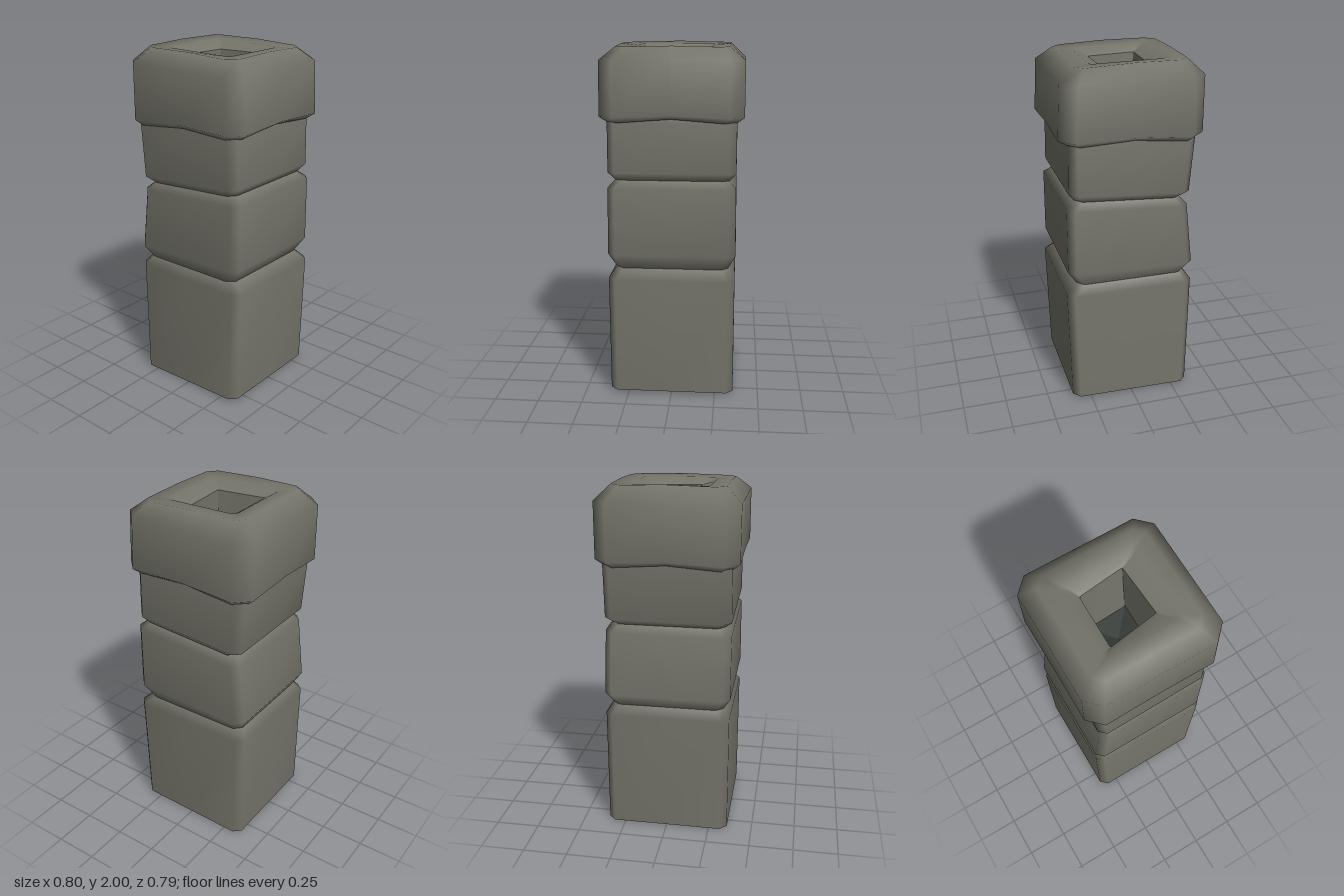
import * as THREE from 'three';

const stone = new THREE.MeshStandardMaterial({ color: 0x74746a, side: THREE.DoubleSide });
stone.name = 'stone';
const soot = new THREE.MeshStandardMaterial({ color: 0x303632, side: THREE.DoubleSide });
soot.name = 'soot';

// Four corners of a level or tilted rectangle, counter-clockwise from above
const rect = (x0, x1, z, yL, yR = yL) => [[x1, yR, z], [x1, yR, -z], [x0, yL, -z], [x0, yL, z]];

// Cross-section with cut corners; "lift" raises or lowers the middle of each side
function ring(corners, cut, lift = 0) {
  const p = corners.map(c => new THREE.Vector3(...c));
  const towards = (a, b) => a.clone().lerp(b, cut / a.distanceTo(b));
  const points = [];
  p.forEach((a, i) => {
    const prev = p[(i + 3) % 4], next = p[(i + 1) % 4];
    const mid = a.clone().lerp(next, 0.5);
    mid.y += lift;
    points.push(towards(a, prev), towards(a, next), mid);
  });
  return points;
}

// Smooth skin through a list of cross-sections
function loft(name, rings, material) {
  const n = rings[0].length, index = [];
  for (let r = 0; r < rings.length - 1; r++) {
    for (let i = 0; i < n; i++) {
      const j = (i + 1) % n;
      const a = r * n + i, b = r * n + j, c = a + n, d = b + n;
      index.push(a, b, d, a, d, c);
    }
  }
  const geometry = new THREE.BufferGeometry().setFromPoints(rings.flat());
  geometry.setIndex(index);
  geometry.computeVertexNormals();
  const mesh = new THREE.Mesh(geometry, material);
  mesh.name = name;
  return mesh;
}

export function createModel() {
  const group = new THREE.Group();
  group.name = 'stonePillar';

  // Shaft blocks, pinched at the joints and open underneath
  group.add(loft('baseBlock', [
    ring(rect(-0.355, 0.355, 0.355, 0.005, 0.02), 0.04),
    ring(rect(-0.365, 0.375, 0.355, 0.7), 0.04),
    ring(rect(-0.325, 0.31, 0.318, 0.752), 0.04),
  ], stone));
  group.add(loft('middleBlock', [
    ring(rect(-0.325, 0.31, 0.318, 0.752), 0.04),
    ring(rect(-0.365, 0.365, 0.358, 0.82, 0.84), 0.04),
    ring(rect(-0.325, 0.365, 0.355, 1.18, 1.22), 0.04),
    ring(rect(-0.285, 0.315, 0.318, 1.222, 1.26), 0.04),
  ], stone));
  group.add(loft('upperBlock', [
    ring(rect(-0.285, 0.315, 0.318, 1.222, 1.26), 0.04),
    ring(rect(-0.335, 0.35, 0.355, 1.26, 1.305), 0.04),
    ring(rect(-0.36, 0.345, 0.355, 1.58), 0.04),
    ring(rect(-0.33, 0.32, 0.33, 1.63), 0.04),
  ], stone));

  // Cap with rounded edges and a top that dips toward the opening
  const lip = [[0.125, 1.945, 0.125], [0.11, 1.94, -0.17], [-0.15, 1.94, -0.14], [-0.155, 1.945, 0.165]];
  group.add(loft('cap', [
    ring(rect(-0.33, 0.32, 0.33, 1.57, 1.585), 0.05, 0.02),
    ring(rect(-0.36, 0.355, 0.355, 1.56, 1.58), 0.06, 0.022),
    ring(rect(-0.402, 0.402, 0.395, 1.595, 1.612), 0.08, 0.015),
    ring(rect(-0.402, 0.387, 0.395, 1.91), 0.08),
    ring(rect(-0.315, 0.3, 0.31, 1.994, 1.98), 0.05, 0.006),
    ring(rect(-0.22, 0.205, 0.215, 1.985, 1.978), 0.02),
    ring(lip, 0.004),
  ], stone));

  // Square opening
  const floor = [[0.11, 1.55, 0.11], [0.11, 1.55, -0.14], [-0.135, 1.55, -0.125], [-0.135, 1.55, 0.13]];
  group.add(loft('openingWall', [ring(lip, 0.004), ring(floor, 0.004)], stone));
  group.add(loft('openingFloor', [
    ring(floor, 0.004),
    ring(rect(-0.013, -0.011, 0.001, 1.53), 0.0003),
  ], soot));

  return group;
}
